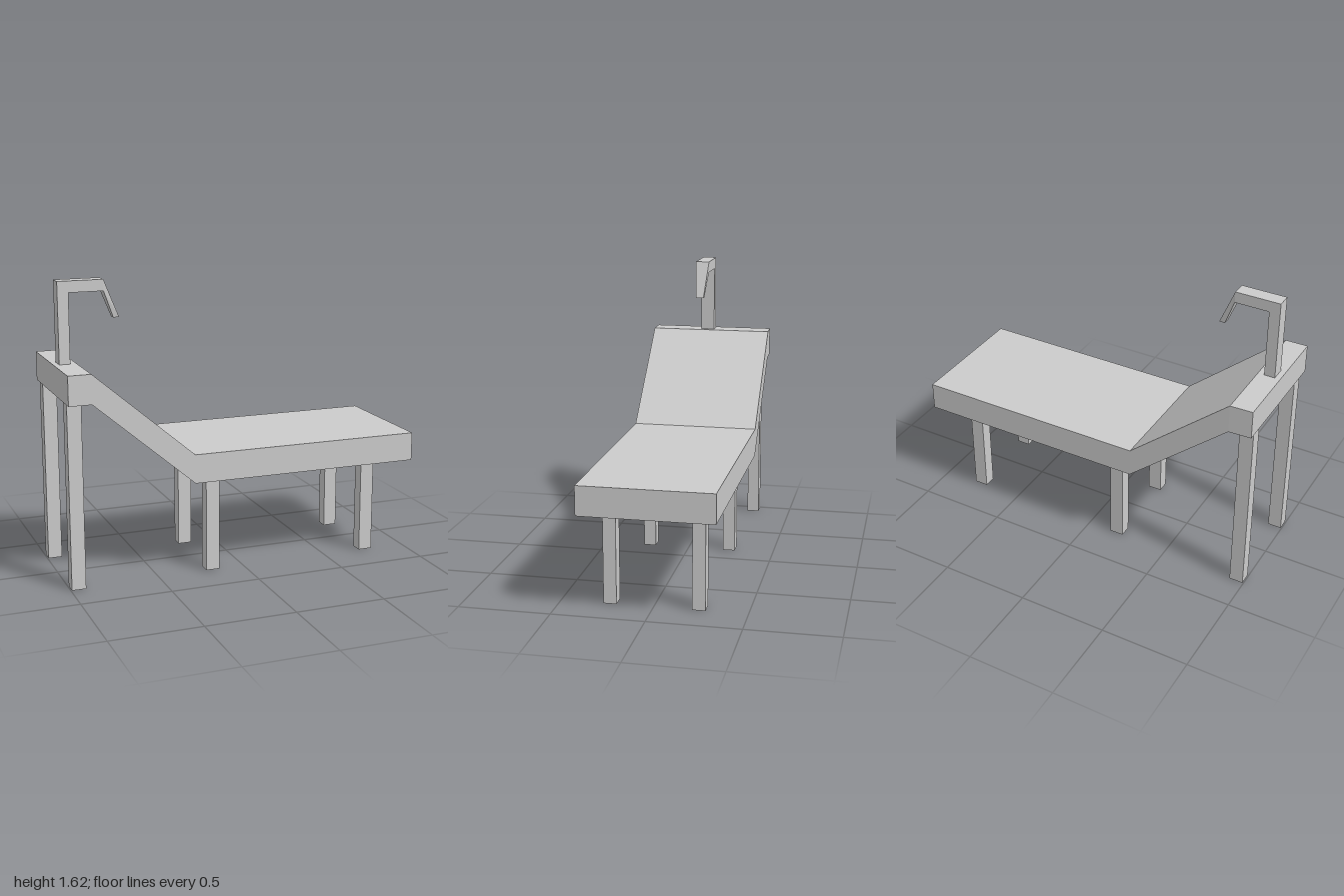
import * as THREE from 'three';

const material = new THREE.MeshStandardMaterial({ color: 0xcccccc, flatShading: true });

// Lofts a four-sided bar through sections [outerX, outerY, innerX, innerY, zMax, zMin].
function loft(name, sections) {
  const rings = sections.map(([ox, oy, ix, iy, z1, z0]) => [
    [ox, oy, z1], [ox, oy, z0], [ix, iy, z0], [ix, iy, z1],
  ]);
  const positions = [];
  const quad = (a, b, c, d) => positions.push(...a, ...b, ...c, ...a, ...c, ...d);

  for (let s = 0; s < rings.length - 1; s++) {
    const p = rings[s], q = rings[s + 1];
    for (let i = 0; i < 4; i++) {
      const j = (i + 1) % 4;
      quad(p[i], q[i], q[j], p[j]);
    }
  }
  const [a, b, c, d] = rings[0];
  quad(a, b, c, d);
  const [e, f, g, h] = rings[rings.length - 1];
  quad(h, g, f, e);

  const geometry = new THREE.BufferGeometry();
  geometry.setAttribute('position', new THREE.Float32BufferAttribute(positions, 3));
  geometry.computeVertexNormals();
  const mesh = new THREE.Mesh(geometry, material);
  mesh.name = name;
  return mesh;
}

export function createModel() {
  const model = new THREE.Group();
  model.name = 'recliningBed';

  // Bent slab: raised head shelf, sloping backrest and flat bed, very slightly skewed at the head
  model.add(loft('bedSlab', [
    [-1, 1.18, -1, 1.02, 0.365, -0.35],
    [-0.875, 1.18, -0.875, 1.02, 0.363, -0.355],
    [-0.312, 0.697, -0.312, 0.537, 0.357, -0.363],
    [1, 0.697, 1, 0.537, 0.357, -0.363],
  ]));

  // Hooked spout rising from the head shelf, tapering at its tip
  model.add(loft('spout', [
    [-0.97, 1.18, -0.91, 1.18, 0.07, -0.01],
    [-0.97, 1.622, -0.91, 1.56, 0.07, -0.01],
    [-0.72, 1.622, -0.72, 1.56, 0.07, -0.01],
    [-0.632, 1.413, -0.664, 1.413, 0.052, 0.008],
  ]));

  // Three pairs of square legs: [name, x, z offset, height]
  const pairs = [
    ['headLeg', -0.955, 0.267, 1.02],
    ['middleLeg', -0.181, 0.237, 0.537],
    ['footLeg', 0.763, 0.237, 0.537],
  ];
  for (const [name, x, z, height] of pairs) {
    for (const side of [1, -1]) {
      const leg = new THREE.Mesh(new THREE.BoxGeometry(0.078, height, 0.07), material);
      leg.position.set(x, height / 2, side * z - 0.003);
      leg.name = name + (side > 0 ? 'Front' : 'Back');
      model.add(leg);
    }
  }
  return model;
}
